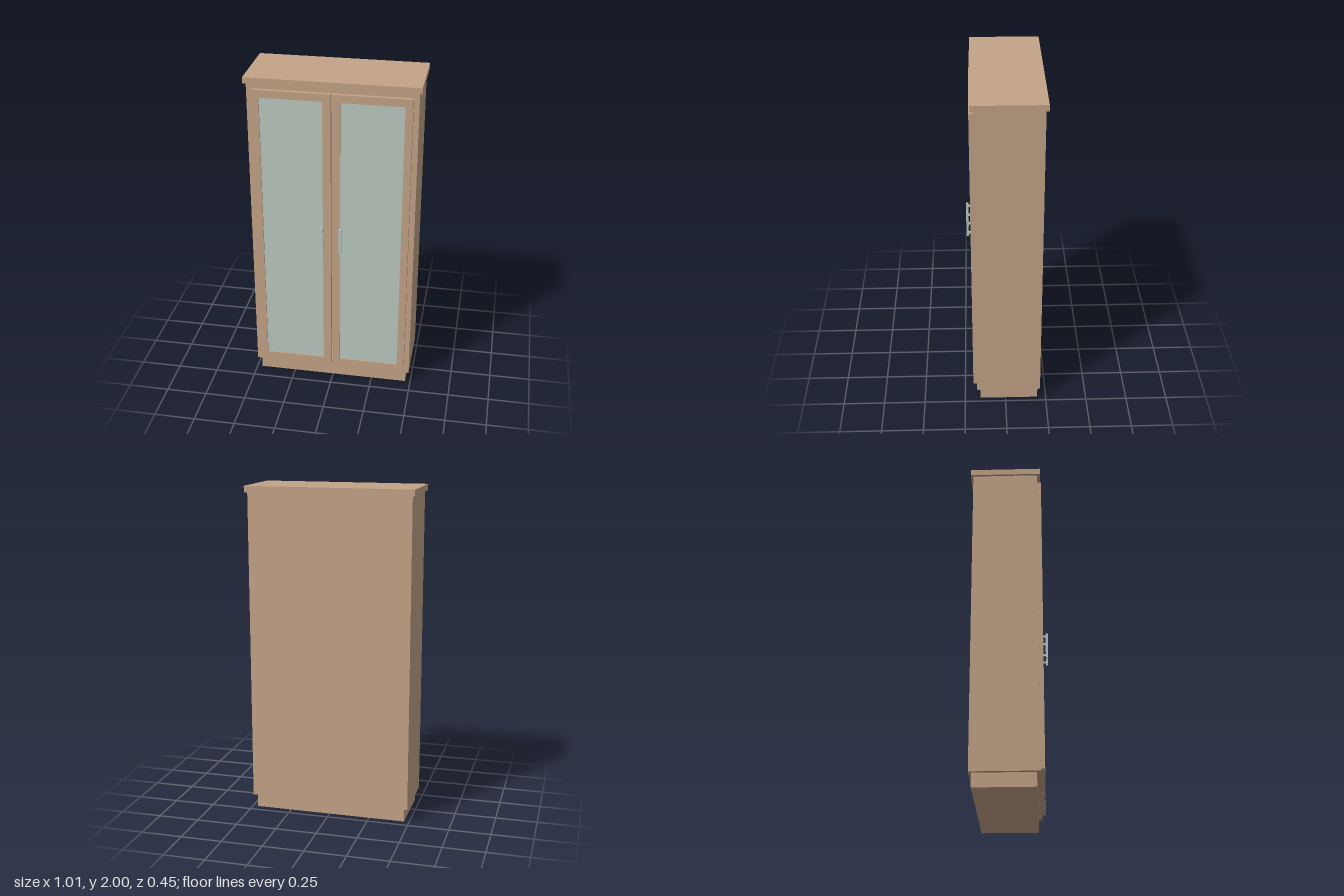
import * as THREE from 'three';

const wood = new THREE.MeshStandardMaterial({ name: 'lightWood', color: 0xc3a387 });
const glass = new THREE.MeshStandardMaterial({ name: 'paleGlass', color: 0xbbc8c0 });
const metal = new THREE.MeshStandardMaterial({ name: 'handleMetal', color: 0xb9c9c6 });

// Box given by its lower and upper corners
function box(name, material, [x0, y0, z0], [x1, y1, z1]) {
  const mesh = new THREE.Mesh(new THREE.BoxGeometry(x1 - x0, y1 - y0, z1 - z0), material);
  mesh.position.set((x0 + x1) / 2, (y0 + y1) / 2, (z0 + z1) / 2);
  mesh.name = name;
  return mesh;
}

// Rectangular frame with an opening, extruded along z; rectangles are [x0, y0, x1, y1]
function frame(name, outer, inner, z0, z1) {
  const corners = ([x0, y0, x1, y1]) => [[x0, y0], [x1, y0], [x1, y1], [x0, y1]].map(([x, y]) => new THREE.Vector2(x, y));
  const shape = new THREE.Shape(corners(outer));
  shape.holes.push(new THREE.Path(corners(inner).reverse()));
  const geometry = new THREE.ExtrudeGeometry(shape, { depth: z1 - z0, bevelEnabled: false });
  const mesh = new THREE.Mesh(geometry, wood);
  mesh.position.z = z0;
  mesh.name = name;
  return mesh;
}

// Door leaf with glass pane and bar handle; side is +1 for left, -1 for right
function door(side) {
  const group = new THREE.Group();
  group.name = side > 0 ? 'leftDoor' : 'rightDoor';
  const span = (a, b) => (side > 0 ? [a, b] : [-b, -a]);
  const [ox0, ox1] = span(0.003, 0.458);
  const [ix0, ix1] = span(0.051, 0.415);
  group.add(frame('doorFrame', [ox0, 0.105, ox1, 1.932], [ix0, 0.154, ix1, 1.886], 0.175, 0.198));
  group.add(box('glassPane', glass, [ix0, 0.154, 0.182], [ix1, 1.886, 0.19]));

  const [hx0, hx1] = span(0.047, 0.062);
  group.add(box('handleBar', metal, [hx0, 0.937, 0.212], [hx1, 1.1, 0.226]));
  const [px0, px1] = span(0.049, 0.06);
  for (const y of [0.956, 1.081]) {
    group.add(box('handlePost', metal, [px0, y - 0.006, 0.188], [px1, y + 0.006, 0.212]));
  }
  return group;
}

export function createModel() {
  const model = new THREE.Group();
  model.name = 'displayCabinet';

  // Base, body and cornice
  model.add(box('plinth', wood, [-0.468, 0, -0.198], [0.468, 0.082, 0.155]));
  model.add(frame('carcass', [-0.49, 0.082, 0.49, 1.963], [-0.452, 0.12, 0.452, 1.925], -0.206, 0.175));
  model.add(box('backPanel', wood, [-0.49, 0.082, -0.213], [0.49, 1.963, -0.206]));
  model.add(box('topBoard', wood, [-0.505, 1.963, -0.228], [0.505, 2, 0.193]));

  // Pair of glazed doors
  model.add(door(1), door(-1));
  return model;
}
